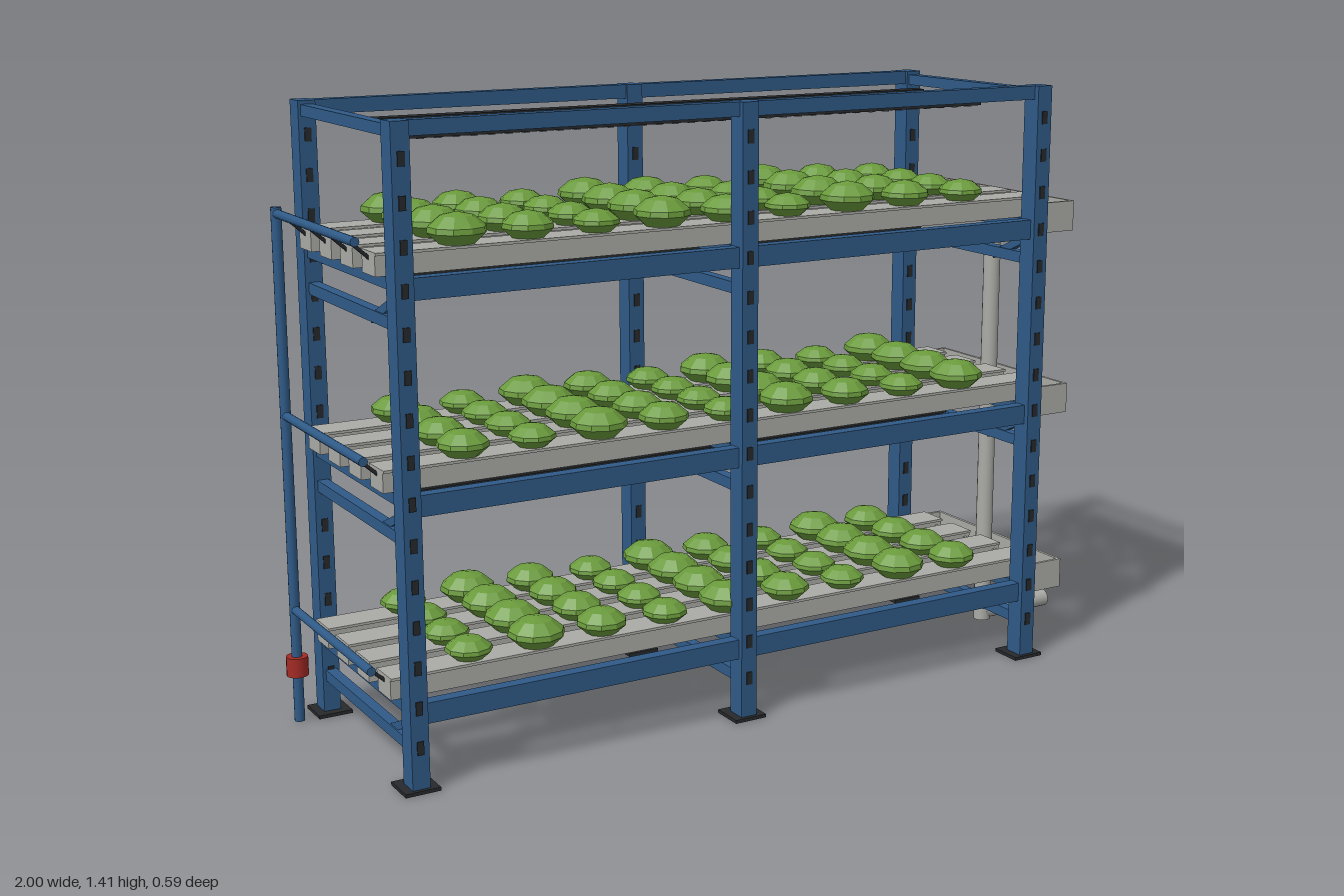
import * as THREE from 'three';

export function createModel() {
  const mat = (name, color, extra = {}) => Object.assign(new THREE.MeshStandardMaterial({ color, ...extra }), { name });
  const blue = mat('frame blue', 0x2f5a87);
  const grey = mat('channel grey', 0xaaaaa6);
  const dark = mat('charcoal', 0x26282b);
  const green = mat('leaf green', 0x6a9a3c, { flatShading: true });
  const red = mat('valve red', 0xa32a24);
  const diodeGrey = mat('diode grey', 0x6e7072);

  const root = new THREE.Group();
  root.name = 'growingRack';

  const add = (name, geo, material, x, y, z, parent = root) => {
    const m = new THREE.Mesh(geo, material);
    m.name = name;
    m.position.set(x, y, z);
    parent.add(m);
    return m;
  };
  const box = (name, material, w, h, d, x, y, z, parent) =>
    add(name, new THREE.BoxGeometry(w, h, d), material, x, y, z, parent);
  // round bar between two points
  const rod = (name, material, a, b, r, parent = root, sides = 12) => {
    const p = new THREE.Vector3(...a), q = new THREE.Vector3(...b);
    const dir = q.clone().sub(p);
    const m = add(name, new THREE.CylinderGeometry(r, r, dir.length(), sides), material, 0, 0, 0, parent);
    m.position.copy(p).add(q).multiplyScalar(0.5);
    m.quaternion.setFromUnitVectors(new THREE.Vector3(0, 1, 0), dir.normalize());
    return m;
  };

  const postX = [-0.895, -0.09, 0.715];
  const postZ = 0.261;
  const rowZ = [-0.183, -0.061, 0.061, 0.183];
  const midX = -0.09;

  // slotted posts with foot plates
  for (const x of postX) {
    for (const s of [-1, 1]) {
      box('post', blue, 0.04, 1.4, 0.05, x, 0.706, s * postZ);
      box('footPlate', dark, 0.08, 0.008, 0.08, x, 0.004, s * 0.255);
      for (let i = 0; i < 15; i++) {
        box('postSlot', dark, 0.015, 0.03, 0.004, x, 0.1 + i * 0.088, s * postZ + 0.0255);
      }
    }
  }

  // top frame
  for (const s of [-1, 1]) box('topBeam', blue, 1.645, 0.032, 0.03, midX, 1.39, s * 0.258);
  for (const x of [postX[0], postX[2]]) box('topCrossbar', blue, 0.028, 0.025, 0.48, x, 1.385, 0);

  // lamp bar with a row of diodes underneath
  const lampBar = (y, z) => {
    const g = new THREE.Group();
    g.name = 'lampBar';
    root.add(g);
    box('lampHousing', dark, 1.47, 0.014, 0.04, -0.085, y, z, g);
    box('lampBase', dark, 1.46, 0.007, 0.026, -0.085, y - 0.01, z, g);
    for (let i = 0; i < 36; i++) {
      box('diode', diodeGrey, 0.014, 0.003, 0.014, -0.785 + i * 0.04, y - 0.0145, z, g);
    }
  };

  // faceted leafy head
  const plantGeo = new THREE.LatheGeometry(
    [[0, 0], [0.036, 0], [0.064, 0.026], [0.062, 0.038], [0.036, 0.06], [0, 0.068]].map(p => new THREE.Vector2(...p)), 10);
  const plantScale = [[1, 1], [0.9, 0.88], [0.82, 0.76]];

  for (let t = 0; t < 3; t++) {
    const y = t * 0.45;
    const tier = new THREE.Group();
    tier.name = 'tier' + (t + 1);
    tier.position.y = y;
    root.add(tier);

    // long beams, cross supports and end ties
    for (const s of [-1, 1]) box('tierBeam', blue, 1.61, 0.046, 0.03, midX, 0.168, s * 0.258, tier);
    for (const x of postX) {
      box('trayCrossbar', blue, 0.025, 0.025, 0.49, x, 0.176, 0, tier);
      box('tieBar', blue, 0.025, 0.026, 0.49, x, 0.095, 0, tier);
    }
    for (const x of [postX[0], postX[2]]) {
      const brace = box('diagonalBrace', blue, 0.018, 0.018, 0.14, x, 0.115, 0.18, tier);
      brace.rotation.x = -Math.atan2(0.055, 0.12);
    }

    // channels with lids, plants and feed hoses
    rowZ.forEach((z) => {
      box('channel', grey, 1.7, 0.044, 0.07, -0.08, 0.212, z, tier);
      box('channelLid', grey, 1.7, 0.006, 0.08, -0.08, 0.236, z, tier);
      for (let i = 0; i < 9; i++) {
        const [r, h] = plantScale[(i + 2 - t) % 3];
        const p = add('plant', plantGeo, green, -0.735 + i * 0.161, 0.237, z, tier);
        p.scale.set(r, h, r);
        p.rotation.y = i * 0.7 + t;
      }
      rod('feedHose', dark, [-0.975, 0.266, z], [-0.915, 0.212, z], 0.004, tier, 8);
    });
    rod('feedManifold', blue, [-0.975, 0.266, -0.235], [-0.975, 0.266, 0.23], 0.01, tier);

    // open collecting gutter
    const gx = 0.797;
    box('gutterFloor', grey, 0.094, 0.008, 0.5, gx, 0.156, 0, tier);
    for (const s of [-1, 1]) {
      box('gutterSide', grey, 0.008, 0.072, 0.5, gx + s * 0.043, 0.188, 0, tier);
      box('gutterEnd', grey, 0.094, 0.072, 0.008, gx, 0.188, s * 0.246, tier);
    }
  }

  // lamps over each tier
  for (const y of [0.583, 1.033, 1.366]) {
    for (const z of [-0.121, 0, 0.121]) lampBar(y, z);
  }

  // drain pipe and outlet
  rod('drainPipe', grey, [0.797, 0.003, 0], [0.797, 1.06, 0], 0.021, root, 16);
  rod('drainOutlet', grey, [0.797, 0.025, 0], [1, 0.025, 0], 0.022, root, 16);

  // supply riser and valve
  rod('supplyRiser', blue, [-0.975, 0, -0.235], [-0.975, 1.18, -0.235], 0.012);
  rod('valve', red, [-0.975, 0.11, -0.235], [-0.975, 0.155, -0.235], 0.025, root, 16);

  return root;
}
